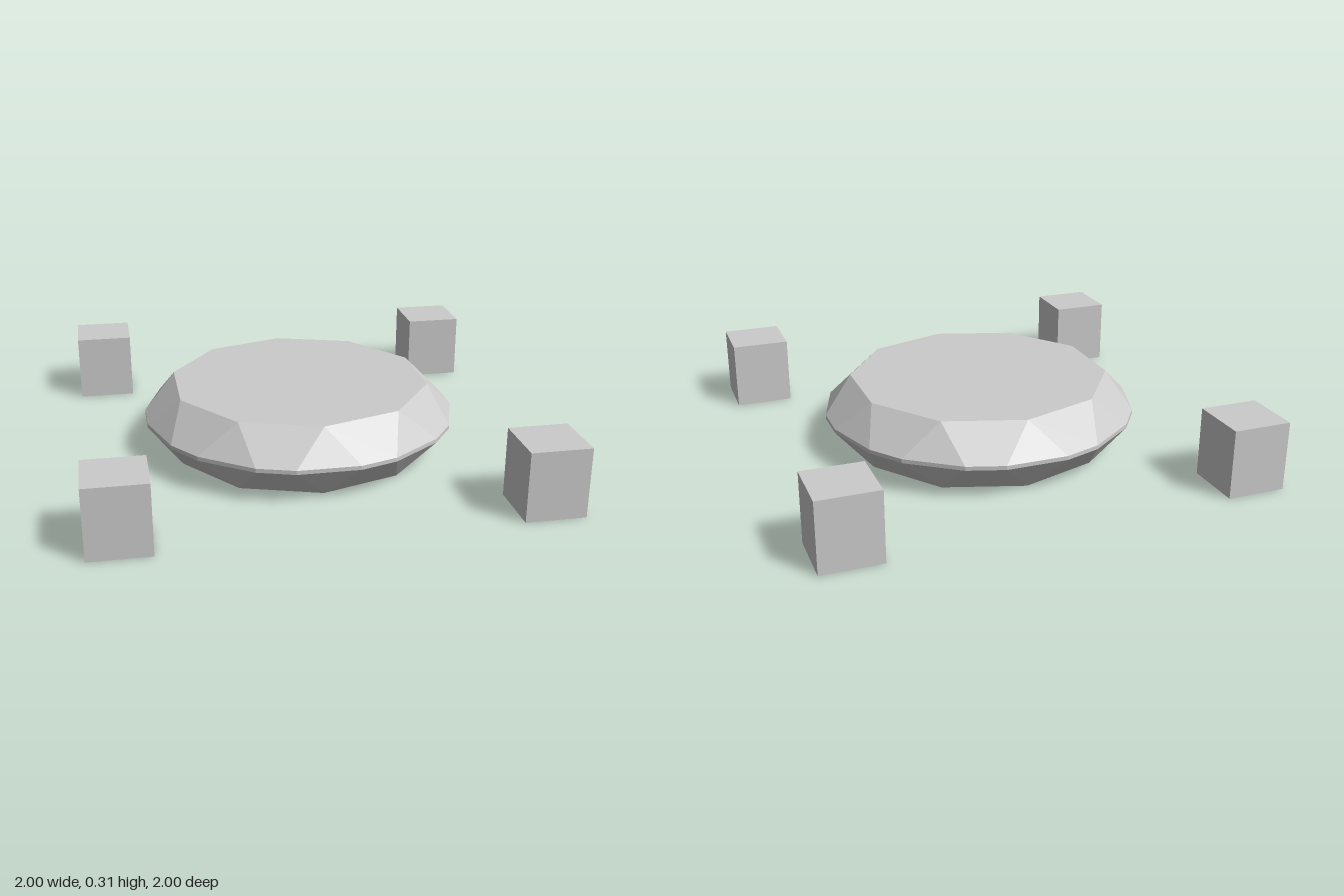
import * as THREE from 'three';

const SIDES = 10;
const HEIGHT = 0.305;
const TABLE_RADIUS = 0.589;
const GIRDLE_RADIUS = 0.71;
const GIRDLE_LOW = 0.146, GIRDLE_HIGH = 0.164;

const polar = (radius, degrees, y) => {
  const a = THREE.MathUtils.degToRad(degrees);
  return new THREE.Vector3(radius * Math.cos(a), y, -radius * Math.sin(a));
};

// Cut disc: ten-sided flat faces, a twenty-sided girdle, trapezoid and triangle facets between
function createDiscGeometry() {
  const positions = [];
  const tri = (...points) => points.forEach(p => positions.push(p.x, p.y, p.z));
  const quad = (a, b, c, d) => { tri(a, b, c); tri(a, c, d); };
  const step = 360 / SIDES, half = 6.9;

  for (let i = 0; i < SIDES; i++) {
    const mid = i * step;
    // one flat face with its sloping facets; the lower half is the mirror with reversed corners
    const slope = (y, girdleY, flip) => {
      const t = (...p) => tri(...(flip ? p.reverse() : p));
      const a = polar(TABLE_RADIUS, mid - step / 2, y);
      const b = polar(TABLE_RADIUS, mid + step / 2, y);
      const g0 = polar(GIRDLE_RADIUS, mid - half, girdleY);
      const g1 = polar(GIRDLE_RADIUS, mid + half, girdleY);
      const g2 = polar(GIRDLE_RADIUS, mid + step - half, girdleY);
      t(new THREE.Vector3(0, y, 0), a, b);
      t(a, g0, g1);
      t(a, g1, b);
      t(b, g1, g2);
    };
    slope(HEIGHT, GIRDLE_HIGH, false);
    slope(0, GIRDLE_LOW, true);

    // thin upright girdle band
    const angles = [mid - half, mid + half, mid + step - half];
    for (let k = 0; k < 2; k++) {
      quad(
        polar(GIRDLE_RADIUS, angles[k], GIRDLE_LOW),
        polar(GIRDLE_RADIUS, angles[k + 1], GIRDLE_LOW),
        polar(GIRDLE_RADIUS, angles[k + 1], GIRDLE_HIGH),
        polar(GIRDLE_RADIUS, angles[k], GIRDLE_HIGH)
      );
    }
  }
  const geometry = new THREE.BufferGeometry();
  geometry.setAttribute('position', new THREE.Float32BufferAttribute(positions, 3));
  geometry.computeVertexNormals();
  return geometry;
}

export function createModel() {
  const group = new THREE.Group();
  const material = new THREE.MeshStandardMaterial({ color: 0xcccccc, flatShading: true });

  const disc = new THREE.Mesh(createDiscGeometry(), material);
  disc.name = 'facetedDisc';
  disc.position.z = -0.002;
  group.add(disc);

  // Four separate corner blocks
  const blockGeometry = new THREE.BoxGeometry(0.26, HEIGHT, 0.26);
  for (const [x, side] of [[1, 'Left'], [-1, 'Right']]) {
    for (const [z, end] of [[1, 'front'], [-1, 'back']]) {
      const block = new THREE.Mesh(blockGeometry, material);
      block.name = `${end}${side}Block`;
      block.position.set(x * 0.87, HEIGHT / 2, z * 0.868);
      group.add(block);
    }
  }
  return group;
}
